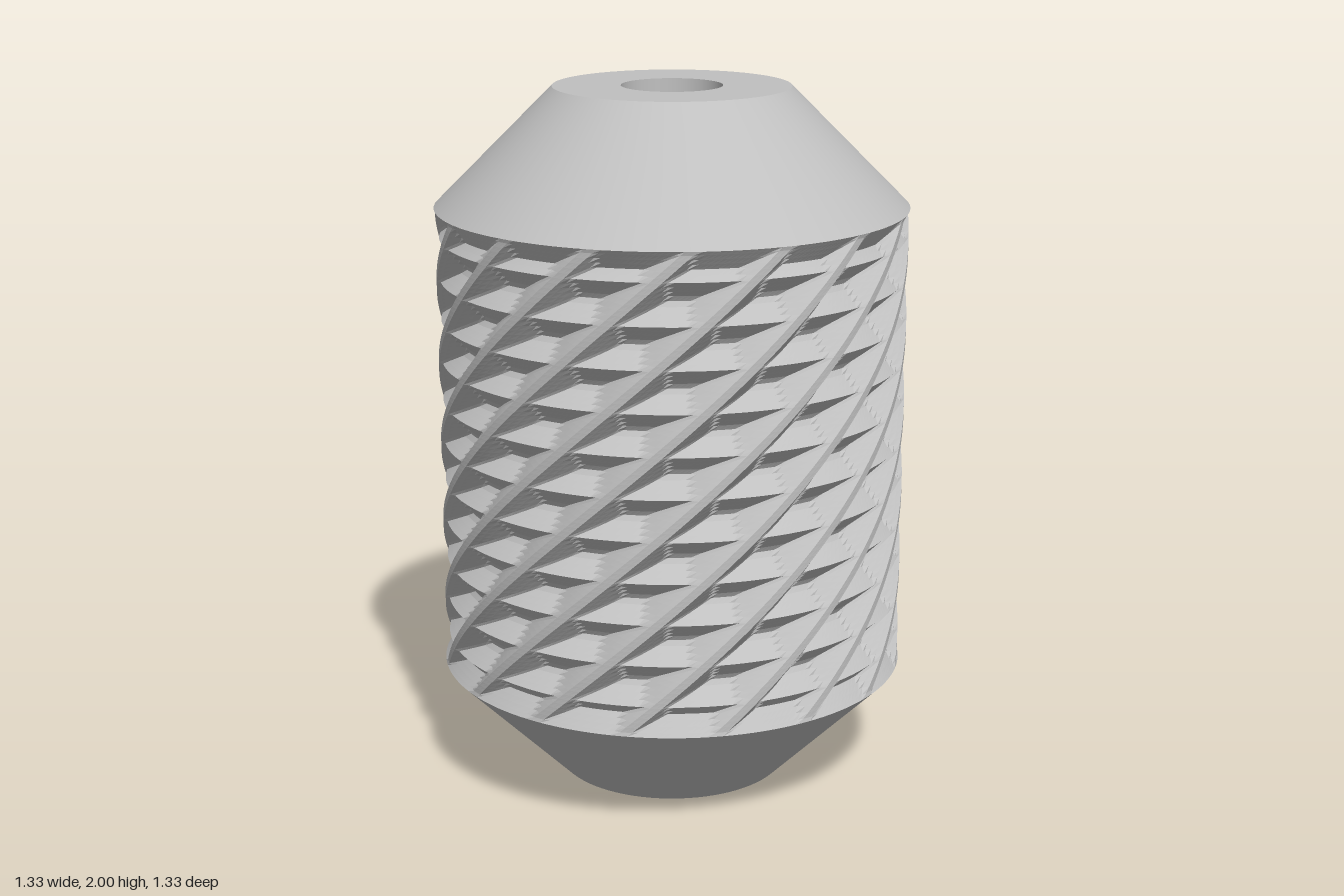
import * as THREE from 'three';

const RADIUS = 0.667, BOTTOM = 1 / 3, TOP = 5 / 3;
const STARTS = 16;                       // helical ribs around the drum
const PITCH = (Math.PI * 2) / STARTS;
const ROW = 0.1167;                      // spacing of the ring ridges
const TWIST = PITCH / 2 / ROW;           // ribs move half a pitch per row

// Height of the knurled skin: helical ribs, ring ridges and pits between them
function skinRadius(phase, y) {
  const p = Math.abs(phase - Math.round(phase));
  const rib = 0.664 - 0.068 * THREE.MathUtils.clamp((p - 1 / 16) / (5 / 16), 0, 1);
  const rows = (y - 1) / ROW;
  const ring = 0.654 - 0.116 * Math.abs(rows - Math.round(rows));
  const flare = RADIUS - 0.75 * Math.min(y - BOTTOM, TOP - y);
  return Math.min(RADIUS, Math.max(rib, ring, flare, 0.602));
}

// Skin grid whose columns follow the ribs
function knurlGeometry() {
  const perRib = 16, perRow = 8, cols = STARTS * perRib;
  const levels = [BOTTOM];
  const half = Math.floor((TOP - 1) / ROW * perRow);
  for (let m = -half; m <= half; m++) levels.push(1 + (m * ROW) / perRow);
  levels.push(TOP);

  const positions = [], index = [];
  levels.forEach((y, j) => {
    for (let i = 0; i <= cols; i++) {
      const phase = i / perRib;
      const a = phase * PITCH + TWIST * (y - 1);
      const r = skinRadius(phase, y);
      positions.push(r * Math.sin(a), y, r * Math.cos(a));
      if (j > 0 && i > 0) {
        const d = j * (cols + 1) + i - 1, c = d + 1;
        const q = d - cols - 1, b = q + 1;
        index.push(q, b, c, q, c, d);
      }
    }
  });
  const geometry = new THREE.BufferGeometry();
  geometry.setAttribute('position', new THREE.Float32BufferAttribute(positions, 3));
  geometry.setIndex(index);
  geometry.computeVertexNormals();
  return geometry;
}

export function createModel() {
  const group = new THREE.Group();
  group.name = 'knurledRoller';

  const metal = new THREE.MeshStandardMaterial({ color: 0xc0c0c0 });
  metal.name = 'grey metal';

  // Each turned surface runs between two profile points
  const turned = (name, r0, y0, r1, y1) => {
    const profile = [new THREE.Vector2(r0, y0), new THREE.Vector2(r1, y1)];
    const mesh = new THREE.Mesh(new THREE.LatheGeometry(profile, 80), metal);
    mesh.name = name;
    group.add(mesh);
  };
  const bore = 0.142, neck = 1 / 3;
  turned('bottomFace', bore, 0, neck, 0);
  turned('bottomCone', neck, 0, RADIUS, BOTTOM);
  turned('topCone', RADIUS, TOP, neck, 2);
  turned('topFace', neck, 2, bore, 2);
  turned('boreWall', bore, 2, bore, 0);

  // Knurled drum with crisp facets
  const drum = new THREE.Mesh(knurlGeometry().toNonIndexed(), metal);
  drum.geometry.computeVertexNormals();
  drum.name = 'knurledDrum';
  group.add(drum);

  return group;
}
